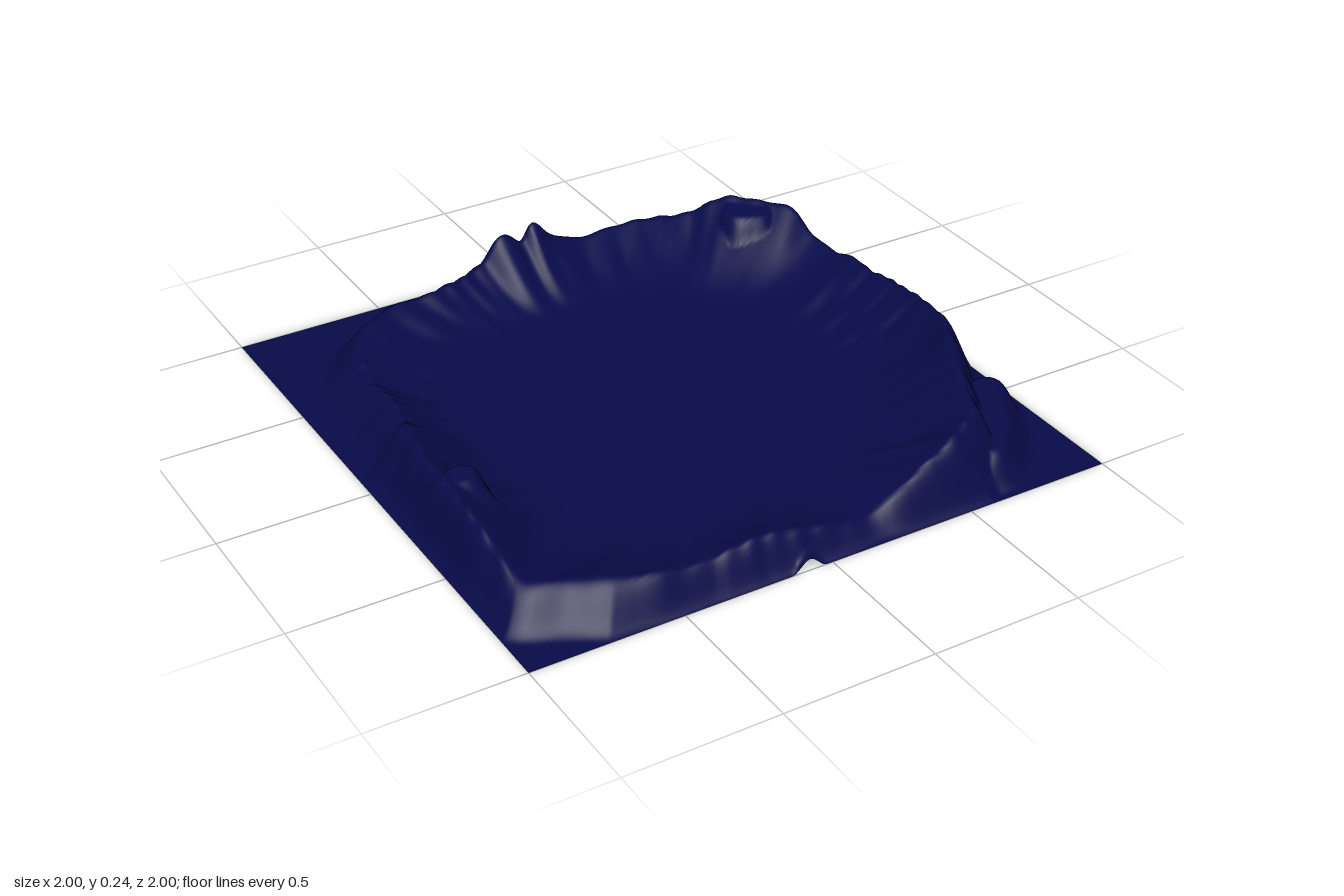
import * as THREE from 'three';

// Crest of the rim, as [x, height, z] going round
const CREST = [
  [.92, .18, 0], [.93, .15, -.15], [.93, .15, -.25], [.93, .12, -.38], [.92, .13, -.48],
  [.89, .2, -.57], [.82, .21, -.66], [.73, .21, -.75], [.6, .14, -.83], [.45, .13, -.89],
  [.2, .12, -.91], [.12, .16, -.91], [.05, .22, -.91], [0, .17, -.9], [-.08, .22, -.89],
  [-.16, .14, -.87], [-.35, .13, -.8], [-.55, .13, -.77], [-.66, .13, -.7], [-.75, .12, -.58],
  [-.79, .11, -.42], [-.8, .14, -.25], [-.82, .15, -.12], [-.86, .19, 0], [-.89, .2, .2],
  [-.9, .2, .4], [-.9, .17, .6], [-.88, .12, .76], [-.75, .12, .83], [-.58, .12, .91],
  [-.4, .1, .92], [-.2, .12, .92], [0, .09, .93], [.17, .06, .92], [.35, .14, .91],
  [.5, .2, .88], [.62, .22, .81], [.67, .22, .71], [.72, .23, .6], [.79, .24, .46], [.88, .22, .28],
];
// Flat-topped shoulders inside the rim: x, z, height, top radius, foot radius
const SHOULDERS = [[.76, -.65, .2, .07, .18], [-.84, .3, .19, .04, .17]];
// Line of the low shelf outside the front left corner, as [x, z]
const SHELF = [[.66, .86], [.77, .74], [.87, .58]];
const FLOOR = 0.02;
const BINS = 720;
const TAU = Math.PI * 2;
const { clamp, lerp, smoothstep } = THREE.MathUtils;

// Rim radius and height for every angle, from a smooth closed curve
function makeRimTable() {
  const curve = new THREE.CatmullRomCurve3(CREST.map(p => new THREE.Vector3(...p)), true);
  const samples = [];
  for (let i = 0; i < 3000; i++) {
    const p = curve.getPoint(i / 3000);
    samples.push({ a: (Math.atan2(-p.z, p.x) + TAU) % TAU, r: Math.hypot(p.x, p.z), h: p.y });
  }
  samples.sort((p, q) => p.a - q.a);
  const table = [];
  for (let i = 0, j = 0; i < BINS; i++) {
    while (j < samples.length - 1 && samples[j].a < i / BINS * TAU) j++;
    table.push(samples[j]);
  }
  return table;
}

function rimAt(table, angle) {
  const f = ((angle + TAU) % TAU) / TAU * BINS;
  const p = table[Math.floor(f) % BINS], q = table[(Math.floor(f) + 1) % BINS], t = f % 1;
  return { r: lerp(p.r, q.r, t), h: lerp(p.h, q.h, t) };
}

function shelf(x, z) {
  let d = Infinity;
  for (let i = 0; i < SHELF.length - 1; i++) {
    const [ax, az] = SHELF[i], bx = SHELF[i + 1][0] - ax, bz = SHELF[i + 1][1] - az;
    const t = clamp(((x - ax) * bx + (z - az) * bz) / (bx * bx + bz * bz), 0, 1);
    d = Math.min(d, Math.hypot(x - ax - bx * t, z - az - bz * t));
  }
  const edge = smoothstep(1 - Math.max(Math.abs(x), Math.abs(z)), 0, .08);
  return .11 * edge * (1 - smoothstep(d, .03, .14));
}

function heightAt(table, x, z) {
  const r = Math.hypot(x, z);
  if (r < .2) return FLOOR;
  const angle = Math.atan2(-z, x);
  const rim = rimAt(table, angle);
  const crest = rim.h + .003 * Math.sin(angle * 61 + 3 * Math.sin(angle * 7));

  if (r > rim.r) {
    // Outer slope: rounded shoulder dropping to the flat border
    const border = 1 / Math.max(Math.abs(Math.cos(angle)), Math.abs(Math.sin(angle)));
    const f = clamp((r - rim.r) / Math.min(.15, border - rim.r), 0, 1);
    return Math.max(crest * (1 - smoothstep(f, 0, 1)) * (1 + .1 * f * Math.sin(angle * 33)), shelf(x, z));
  }

  // Inner slope: concave wall cut by gullies, levelling out to a round floor
  const f = clamp((rim.r - r) / clamp(rim.r - .58, .25, .46), 0, 1);
  const gully = Math.sin(angle * 23 + 3 * Math.sin(angle * 5) + 6 * r) + .5 * Math.sin(angle * 41 - 14 * r);
  const wall = Math.pow(1 - f, 2) * (1 + .4 * f);
  const cut = .008 * gully * Math.sin(Math.PI * f) * (1 - f) * clamp(rim.h / .15, 0, 1.4);
  let h = Math.max(FLOOR + (crest - FLOOR) * wall + cut, .012);
  for (const [sx, sz, top, inner, outer] of SHOULDERS) {
    const d = Math.hypot(x - sx, z - sz) + .01 * gully;
    h = Math.max(h, Math.min(top, crest) * (1 - smoothstep(d, inner, outer)));
  }
  return h;
}

export function createModel() {
  const group = new THREE.Group();
  const table = makeRimTable();

  // Square sheet raised into a crater, with a small notch in its front edge
  const geometry = new THREE.PlaneGeometry(2, 2, 200, 200).rotateX(-Math.PI / 2);
  const pos = geometry.attributes.position;
  for (let i = 0; i < pos.count; i++) {
    const x = pos.getX(i), z = pos.getZ(i);
    const onBorder = Math.max(Math.abs(x), Math.abs(z)) > .9999;
    const notch = z > .98 ? .04 * (1 - smoothstep(Math.abs(x + .08), 0, .06)) : 0;
    pos.setY(i, Math.max(notch, onBorder ? 0 : heightAt(table, x, z)));
  }
  geometry.computeVertexNormals();

  const terrain = new THREE.Mesh(geometry, new THREE.MeshStandardMaterial({ color: 0x080a48, side: THREE.DoubleSide }));
  terrain.name = 'craterTerrain';
  group.add(terrain);
  return group;
}
